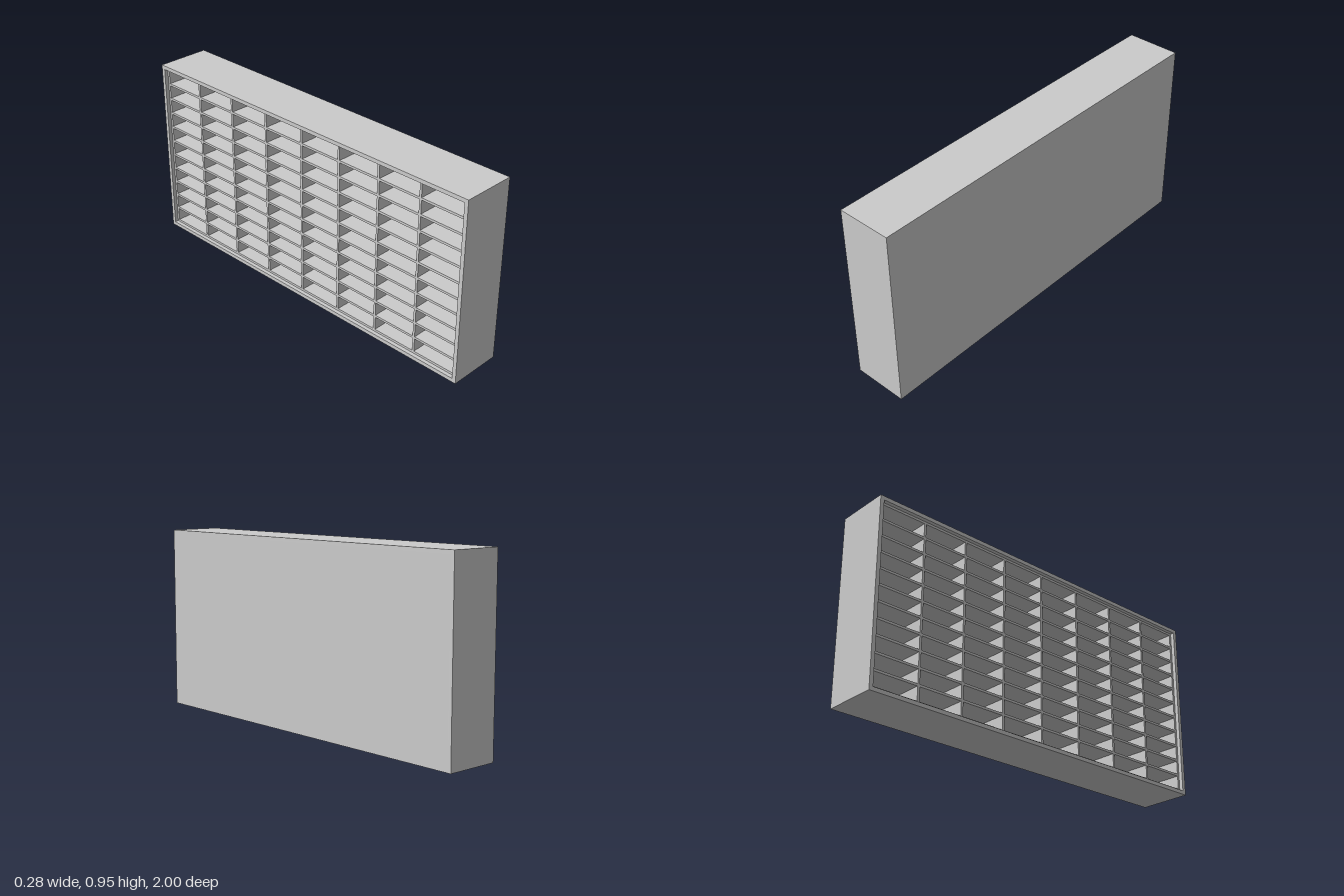
import * as THREE from 'three';

const W = 0.28, H = 0.95, L = 2;   // overall depth (x), height (y), length (z)
const FRAME = 0.02;                // outer case thickness
const BOARD = 0.012;               // thickness of the pigeonhole boards
const RECESS = 0.02;               // boards sit back from the open -x side
const COLUMNS = 8, ROWS = 11;

export function createModel() {
  const group = new THREE.Group();
  group.name = 'pigeonholeCabinet';
  const material = new THREE.MeshStandardMaterial({ color: 0xcccccc, flatShading: true });

  const box = (name, sx, sy, sz, x, y, z) => {
    const mesh = new THREE.Mesh(new THREE.BoxGeometry(sx, sy, sz), material);
    mesh.name = name;
    mesh.position.set(x, y, z);
    group.add(mesh);
  };

  // Outer case: top, bottom, two ends and the closed +x panel
  const innerH = H - 2 * FRAME, innerL = L - 2 * FRAME;
  box('bottomPanel', W, FRAME, L, 0, FRAME / 2, 0);
  box('topPanel', W, FRAME, L, 0, H - FRAME / 2, 0);
  for (const s of [-1, 1]) {
    box(s < 0 ? 'rearEndPanel' : 'frontEndPanel', W, innerH, FRAME, 0, H / 2, s * (L - FRAME) / 2);
  }
  box('backPanel', FRAME, innerH, innerL, (W - FRAME) / 2, H / 2, 0);

  // Recessed grid of upright dividers and shelves, including its outer boards
  const depth = W - FRAME - RECESS;
  const x = (RECESS - FRAME) / 2;
  const stepZ = (innerL - BOARD) / COLUMNS;
  const stepY = (innerH - BOARD) / ROWS;
  for (let i = 0; i <= COLUMNS; i++) {
    box('divider', depth, innerH, BOARD, x, H / 2, -(innerL - BOARD) / 2 + i * stepZ);
  }
  for (let j = 0; j <= ROWS; j++) {
    box('shelf', depth, BOARD, innerL, x, FRAME + BOARD / 2 + j * stepY, 0);
  }
  return group;
}
